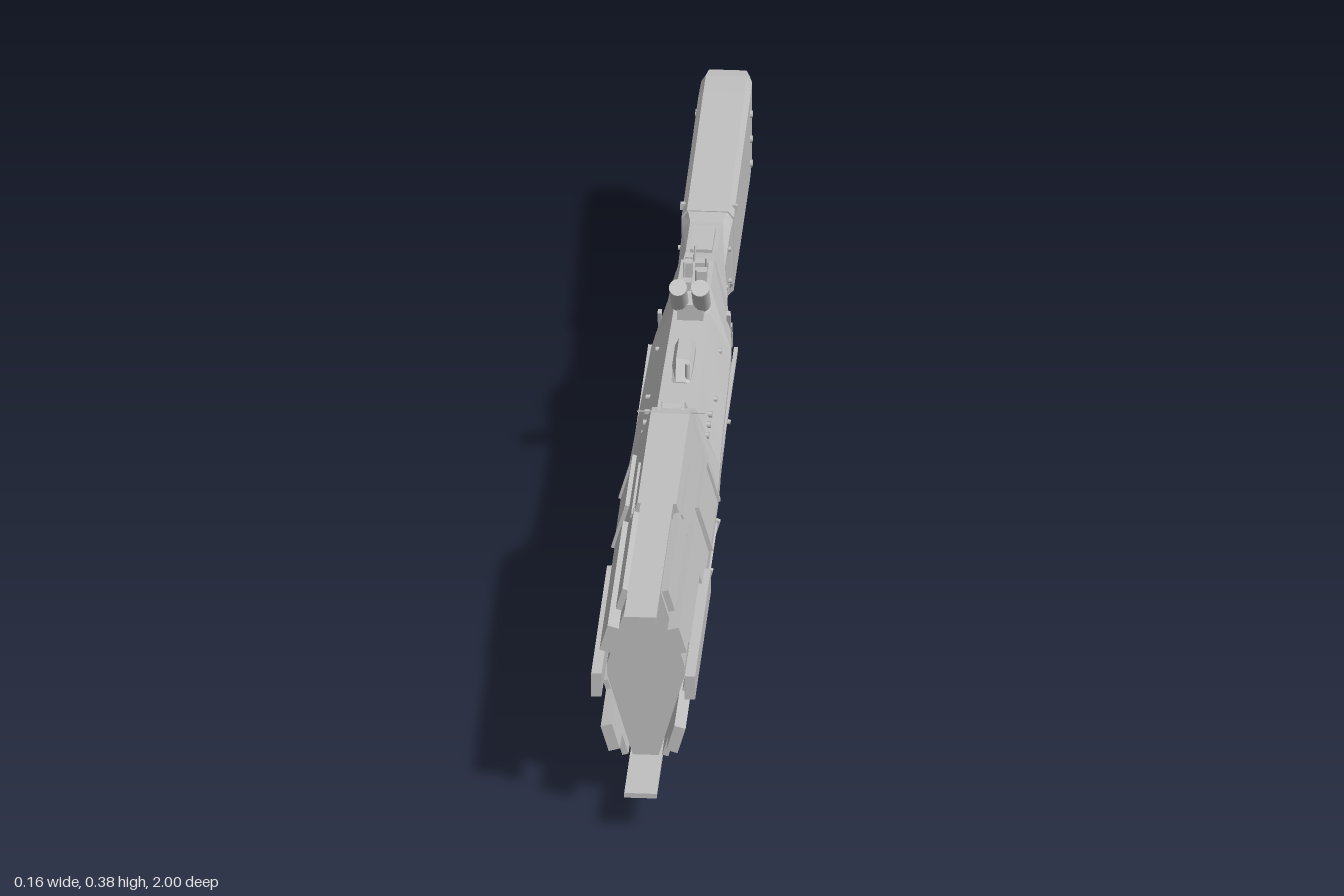
import * as THREE from 'three';

const hullGrey = new THREE.MeshStandardMaterial({ color: 0xc0c0c0 });
hullGrey.name = 'hullGrey';

// Eight-sided cross-sections, front to back: [z, bottom, top, topHalf, midHalf, midLow, midHigh]
function loft(sections) {
  const rings = sections.map(([z, y0, y1, t, m, yl, yu]) => [
    [t, y0, z], [m, yl, z], [m, yu, z], [t, y1, z],
    [-t, y1, z], [-m, yu, z], [-m, yl, z], [-t, y0, z]]);
  const pos = [];
  const tri = (...pts) => pts.forEach((p) => pos.push(...p));
  for (let s = 0; s < rings.length - 1; s++) {
    const a = rings[s], b = rings[s + 1];
    for (let i = 0; i < 8; i++) {
      const j = (i + 1) % 8;
      tri(a[i], b[i], b[j]);
      tri(a[i], b[j], a[j]);
    }
  }
  const f = rings[0], e = rings[rings.length - 1];
  for (let i = 1; i < 7; i++) {
    tri(f[0], f[i], f[i + 1]);
    tri(e[0], e[i + 1], e[i]);
  }
  const g = new THREE.BufferGeometry();
  g.setAttribute('position', new THREE.Float32BufferAttribute(pos, 3));
  g.computeVertexNormals();
  return g;
}

export function createModel() {
  const ship = new THREE.Group();
  ship.name = 'spaceship';

  const add = (name, geo, x = 0, y = 0, z = 0, rx = 0, rz = 0) => {
    const m = new THREE.Mesh(geo, hullGrey);
    m.name = name;
    m.position.set(x, y, z);
    m.rotation.set(rx, 0, rz);
    ship.add(m);
    return m;
  };
  const box = (name, w, h, d, x, y, z, rx = 0, rz = 0) =>
    add(name, new THREE.BoxGeometry(w, h, d), x, y, z, rx, rz);
  const cyl = (name, r, h, x, y, z, rx = 0, rz = 0, sides = 10) =>
    add(name, new THREE.CylinderGeometry(r, r, h, sides), x, y, z, rx, rz);

  // Main hull: tall bow, waist, dorsal hump and neck
  add('hull', loft([
    [0.62, 0.06, 0.378, 0.03, 0.072, 0.205, 0.235],
    [0.32, 0.06, 0.378, 0.03, 0.072, 0.205, 0.235],
    [0.285, 0.068, 0.37, 0.03, 0.072, 0.205, 0.235],
    [0.22, 0.115, 0.325, 0.03, 0.07, 0.2, 0.235],
    [0.17, 0.132, 0.31, 0.03, 0.068, 0.195, 0.24],
    [0.05, 0.137, 0.305, 0.03, 0.066, 0.19, 0.24],
    [-0.16, 0.14, 0.303, 0.028, 0.062, 0.19, 0.24],
    [-0.21, 0.14, 0.322, 0.026, 0.058, 0.19, 0.24],
    [-0.3, 0.145, 0.322, 0.025, 0.046, 0.19, 0.25],
    [-0.34, 0.155, 0.3, 0.025, 0.042, 0.19, 0.26],
    [-0.39, 0.165, 0.292, 0.024, 0.036, 0.185, 0.265],
    [-0.5, 0.165, 0.285, 0.025, 0.037, 0.18, 0.27],
    [-0.54, 0.145, 0.287, 0.032, 0.04, 0.155, 0.275]]));
  // Recessed bow core
  add('bowCore', loft([
    [0.87, 0.073, 0.365, 0.02, 0.06, 0.212, 0.228],
    [0.6, 0.073, 0.365, 0.02, 0.06, 0.212, 0.228]]));
  // Engine block with rounded tail
  add('engineBlock', loft([
    [-0.53, 0.143, 0.288, 0.032, 0.04, 0.152, 0.278],
    [-0.7, 0.143, 0.293, 0.032, 0.04, 0.152, 0.283],
    [-0.9, 0.143, 0.3, 0.032, 0.04, 0.152, 0.29],
    [-0.96, 0.144, 0.299, 0.032, 0.039, 0.153, 0.289],
    [-0.985, 0.147, 0.296, 0.029, 0.034, 0.156, 0.286],
    [-0.997, 0.153, 0.29, 0.022, 0.025, 0.162, 0.28]]));

  // Long top and bottom bow prongs
  box('topProng', 0.05, 0.008, 0.46, 0, 0.374, 0.77);
  box('bottomProng', 0.05, 0.008, 0.46, 0, 0.064, 0.76);

  // Half-width of the bow at a height, and the tilt of its facets
  const bowX = (y) => 0.072 - Math.max(0, Math.abs(y - 0.22) - 0.015) * 0.294;
  const tilt = (y) => (Math.abs(y - 0.22) < 0.02 ? 0 : Math.sign(y - 0.22) * 0.286);

  for (const s of [1, -1]) {
    const onBow = (name, y, h, z0, z1, thick, out = 0) =>
      box(name, thick, h, z1 - z0, s * (bowX(y) + out), y, (z0 + z1) / 2, 0, s * tilt(y));
    const stud = (name, x, y, z, r = 0.005) => cyl(name, r, 0.008, s * x, y, z, 0, Math.PI / 2, 8);

    // Bow slats
    onBow('upperSlat', 0.302, 0.044, 0.58, 0.93, 0.018);
    onBow('middleSlat', 0.222, 0.04, 0.57, 0.93, 0.016);
    onBow('lowerSlat', 0.132, 0.044, 0.6, 0.93, 0.018);
    onBow('upperInnerSlat', 0.345, 0.036, 0.6, 0.88, 0.01, -0.004);
    onBow('lowerInnerSlat', 0.095, 0.036, 0.6, 0.88, 0.01, -0.004);
    onBow('upperRail', 0.262, 0.016, 0.6, 0.85, 0.008, -0.004);
    onBow('lowerRail', 0.182, 0.016, 0.6, 0.85, 0.008, -0.004);

    // Framed side panels, one on each facet
    for (const d of [1, -1]) {
      onBow('sidePanel', 0.22 + d * 0.05, 0.068, 0.34, 0.49, 0.007);
      onBow('panelRim', 0.22 + d * 0.086, 0.006, 0.33, 0.5, 0.014);
      for (const z of [0.333, 0.497])
        onBow('panelPost', 0.22 + d * 0.05, 0.072, z - 0.004, z + 0.004, 0.014);
      // Thin feelers at the bow edges and lip strips
      box('feeler', 0.024, 0.002, 0.002, s * 0.04, 0.22 + d * 0.15, 0.3);
      onBow('edgeStrip', 0.22 + d * 0.135, 0.008, 0.45, 0.62, 0.008);
    }

    // Waist seam, strips and studs
    box('sideSeam', 0.006, 0.008, 0.8, s * 0.066, 0.222, 0.2);
    box('waistStrip', 0.01, 0.01, 0.2, s * 0.037, 0.143, 0);
    for (const z of [0.2, 0.165, 0.13]) stud('waistStud', 0.048, 0.28, z);
    for (const [z, y, x] of [[0.06, 0.27, 0.051], [-0.02, 0.19, 0.066], [-0.1, 0.27, 0.047],
      [-0.17, 0.2, 0.062], [-0.31, 0.21, 0.045], [-0.37, 0.24, 0.038], [-0.46, 0.26, 0.037],
      [-0.47, 0.2, 0.037]]) stud('hullStud', x, y, z, 0.004);
    for (const [z, y] of [[-0.23, 0.25], [-0.27, 0.21]])
      box('hullRib', 0.006, 0.045, 0.01, s * 0.053, y, z, 0.3);

    // Engine block studs and rear nozzles
    for (const y of [0.18, 0.222, 0.265]) stud('engineStud', 0.04, y, -0.9, 0.006);
    for (const y of [0.175, 0.205, 0.237, 0.267])
      cyl('rearNozzle', 0.006, 0.008, s * 0.012, y, -0.997, Math.PI / 2);
    box('engineClamp', 0.008, 0.01, 0.008, s * 0.04, 0.28, -0.56);

    // Twin launch tubes
    cyl('launchTube', 0.014, 0.065, s * 0.017, 0.35, -0.128, 0.72, 0, 16);

    // Hanging fin
    const fin = new THREE.Shape([[0.435, 0.17], [0.452, 0.17], [0.449, 0], [0.406, 0.01]]
      .map(([z, y]) => new THREE.Vector2(z, y)));
    const finMesh = add('hangingFin',
      new THREE.ExtrudeGeometry(fin, { depth: 0.003, bevelEnabled: false }), s * 0.017 - 0.0015);
    finMesh.rotation.y = Math.PI / 2;
  }

  // Framed hatches on the slopes behind the bow, above and below
  for (const d of [1, -1]) {
    const y = 0.22 + d * 0.128, a = d * -0.62;
    box('slopeHatch', 0.03, 0.008, 0.09, 0, y, 0.25, a);
    for (const s of [1, -1]) box('hatchRim', 0.005, 0.015, 0.105, s * 0.018, y, 0.25, a);
  }

  // Dorsal housing, belly tray and tube mount
  add('dorsalHousing', loft([
    [0.08, 0.295, 0.308, 0.008, 0.014, 0.298, 0.304],
    [0.04, 0.295, 0.327, 0.01, 0.016, 0.298, 0.315],
    [-0.03, 0.295, 0.327, 0.01, 0.016, 0.298, 0.315],
    [-0.06, 0.295, 0.308, 0.008, 0.014, 0.298, 0.304]]));
  box('bellyTray', 0.036, 0.01, 0.18, 0, 0.136, 0.01);
  box('tubeMount', 0.04, 0.03, 0.04, 0, 0.315, -0.155);

  // Dorsal equipment cluster: [x, z, width, height]
  for (const [x, z, w, h] of [[0.012, -0.19, 0.014, 0.02], [-0.012, -0.21, 0.016, 0.016],
    [0.01, -0.235, 0.018, 0.022], [-0.01, -0.25, 0.012, 0.028], [0.008, -0.28, 0.02, 0.014],
    [-0.012, -0.29, 0.012, 0.018]])
    box('dorsalEquipment', w, h, 0.016, x, 0.318 + h / 2, z);
  for (const [x, z, h, lean] of [[0.004, -0.215, 0.05, 0.3], [-0.016, -0.23, 0.045, -0.2],
    [0.016, -0.26, 0.04, 0.2], [-0.004, -0.3, 0.03, -0.3]])
    cyl('dorsalMast', 0.002, h, x, 0.33, z, lean, 0, 6);
  cyl('dorsalSensor', 0.004, 0.03, 0.01, 0.32, 0.07, 0, 0, 8);

  // Belly antennas and neck brackets
  for (const [x, z, h] of [[0.012, -0.29, 0.04], [-0.012, -0.31, 0.06], [0.004, -0.325, 0.05]])
    cyl('bellyAntenna', 0.003, h, x, 0.148, z, 0.4, 0, 6);
  box('finMount', 0.05, 0.014, 0.07, 0, 0.162, -0.44);
  box('neckBlock', 0.034, 0.014, 0.08, 0, 0.292, -0.42);
  return ship;
}
